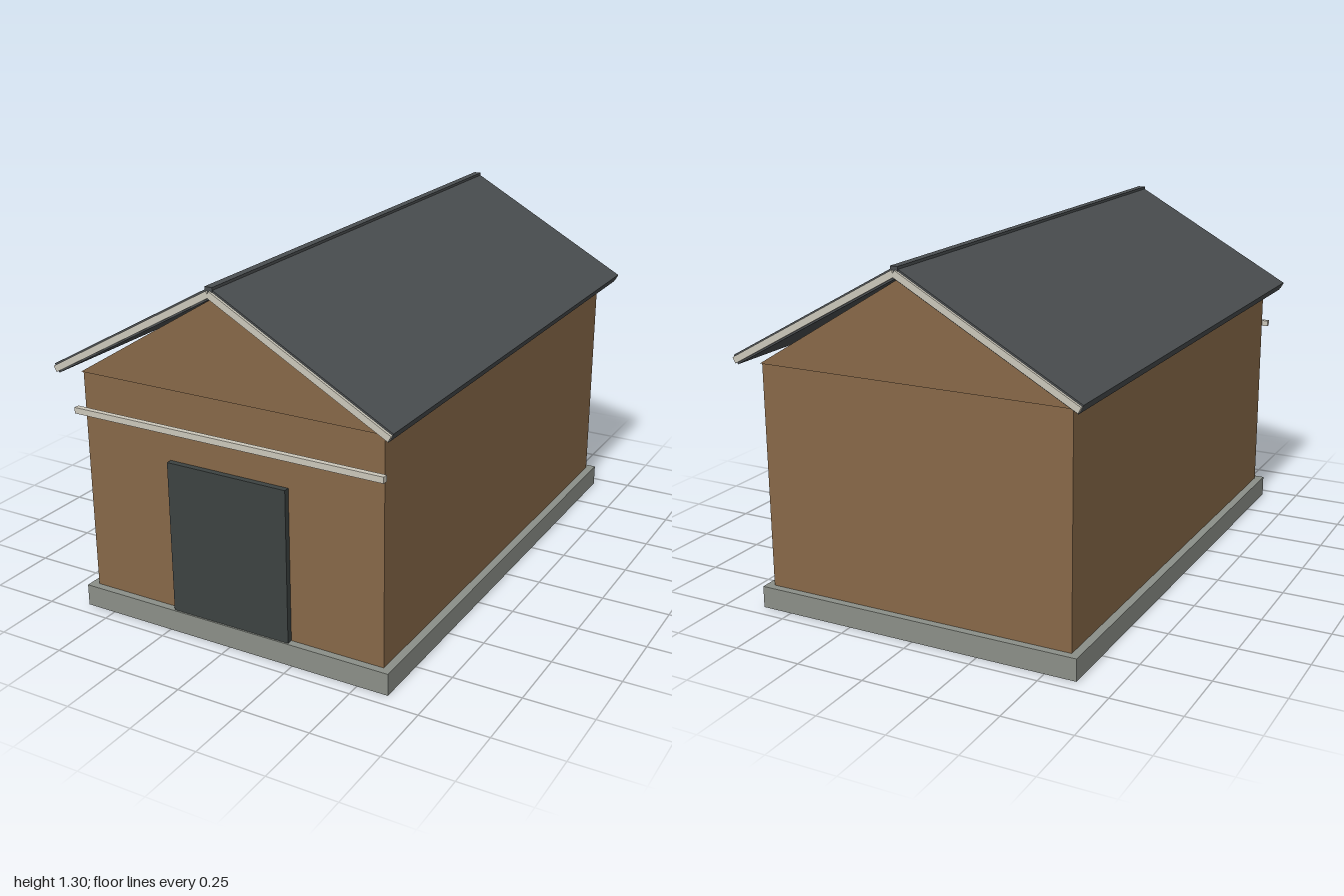
import * as THREE from 'three';

const mat = (color) => new THREE.MeshStandardMaterial({ color, flatShading: true });

export function createModel() {
  const model = new THREE.Group();
  model.name = 'barn';
  const wood = mat(0x876848), roofing = mat(0x4a4e50), stone = mat(0x8b8f88);
  const trim = mat(0xcbc7ba), doorPaint = mat(0x3c4241);

  const box = (name, size, pos, material, parent = model) => {
    const mesh = new THREE.Mesh(new THREE.BoxGeometry(...size), material);
    mesh.name = name;
    mesh.position.set(...pos);
    parent.add(mesh);
    return mesh;
  };

  // Base and walls
  box('foundation', [1.23, 0.08, 1.9], [0, 0.04, 0], stone);
  box('walls', [1.17, 0.82, 1.845], [0, 0.49, 0], wood);

  // Gable prism, slightly proud of the end walls
  const triangle = new THREE.Shape([
    new THREE.Vector2(-0.585, 0.9),
    new THREE.Vector2(0.585, 0.9),
    new THREE.Vector2(0, 1.257),
  ]);
  const gableDepth = 1.87;
  const gable = new THREE.Mesh(
    new THREE.ExtrudeGeometry(triangle, { depth: gableDepth, bevelEnabled: false }), wood);
  gable.name = 'gable';
  gable.position.z = -gableDepth / 2;
  model.add(gable);

  // Front door and the rail above it
  box('door', [0.466, 0.56, 0.022], [0, 0.36, 0.933], doorPaint);
  box('doorRail', [1.205, 0.022, 0.02], [0, 0.764, 0.953], trim);

  // Two roof slopes, each with trim boards on both ends
  const pitch = Math.atan2(0.355, 0.641), slopeLength = 0.733;
  for (const side of [-1, 1]) {
    const slope = new THREE.Group();
    slope.name = side > 0 ? 'leftRoofSlope' : 'rightRoofSlope';
    slope.position.set(side * 0.3205, 1.0975, 0);
    slope.rotation.z = -side * pitch;
    model.add(slope);
    box('roofPanel', [slopeLength, 0.035, 1.98], [0, 0, 0], roofing, slope);
    for (const end of [-1, 1]) {
      box('bargeBoard', [slopeLength, 0.023, 0.014], [0, 0, end * 0.993], trim, slope);
    }
  }
  box('ridgeCap', [0.028, 0.022, 1.985], [0, 1.286, 0], roofing);

  return model;
}
